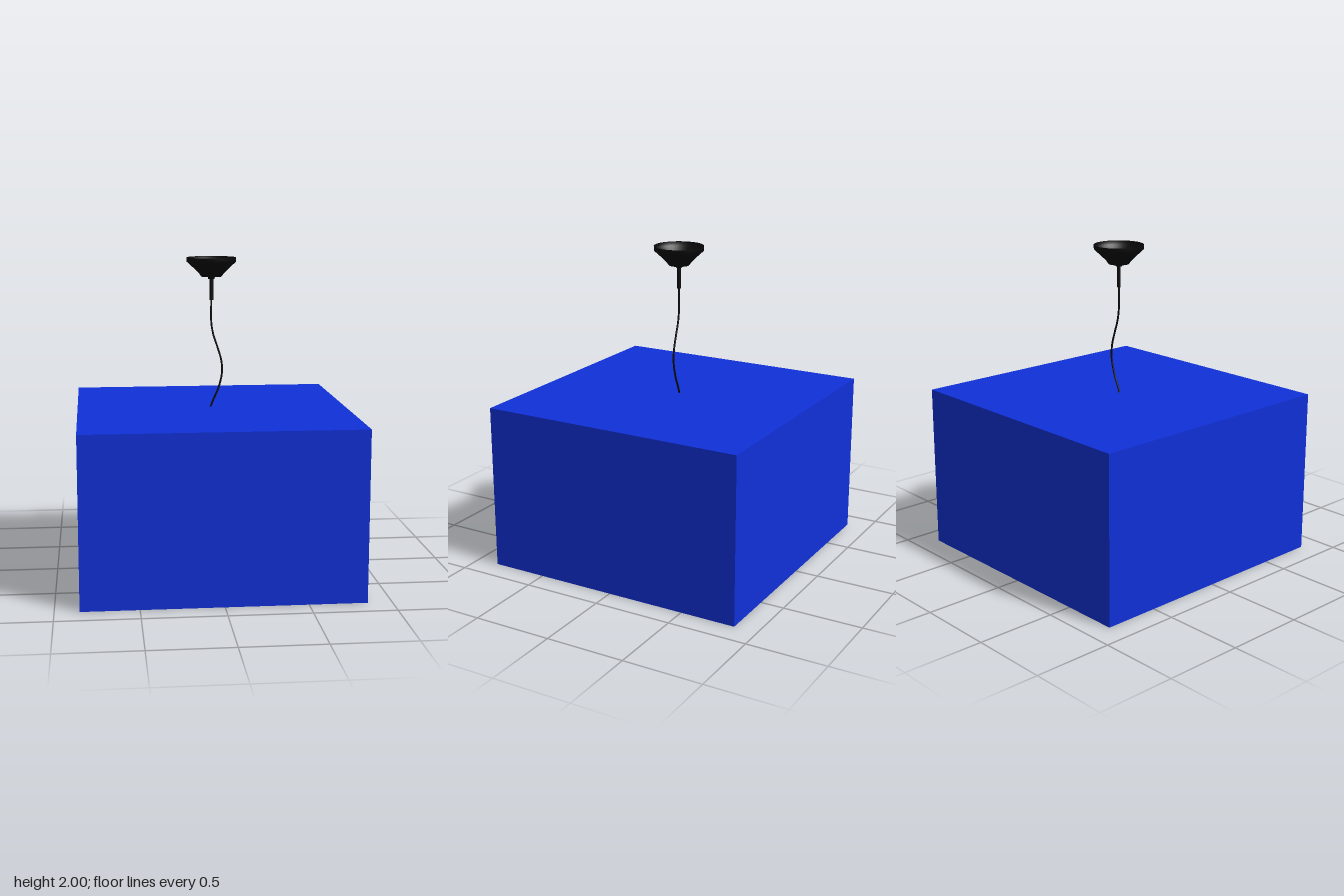
import * as THREE from 'three';

const W = 1.705, H = 1.05, T = 0.004;

// Box with its underside removed
function openBox(w, h) {
  const g = new THREE.BoxGeometry(w, h, w);
  const index = Array.from(g.index.array);
  index.splice(18, 6);
  g.setIndex(index);
  g.clearGroups();
  g.translate(0, h / 2, 0);
  return g;
}

function squarePath(path, s) {
  path.moveTo(-s, -s).lineTo(s, -s).lineTo(s, s).lineTo(-s, s).closePath();
  return path;
}

export function createModel() {
  const group = new THREE.Group();
  const blue = new THREE.MeshStandardMaterial({ color: 0x1030d8 });
  const black = new THREE.MeshStandardMaterial({ color: 0x0a0a0a, side: THREE.DoubleSide });
  const grey = new THREE.MeshStandardMaterial({ color: 0xcccccc, side: THREE.BackSide });

  const add = (name, geometry, material) => {
    const mesh = new THREE.Mesh(geometry, material);
    mesh.name = name;
    group.add(mesh);
    return mesh;
  };

  // Square shade: outer skin, inner lining and the thin lower rim
  add('shade', openBox(W, H), blue);
  add('shadeLining', openBox(W - 2 * T, H - T), grey);
  const rim = squarePath(new THREE.Shape(), W / 2);
  rim.holes.push(squarePath(new THREE.Path(), W / 2 - T));
  add('shadeRim', new THREE.ShapeGeometry(rim).rotateX(Math.PI / 2), blue);

  // Ceiling canopy, an open cup with a small collar beneath
  const profile = [
    [0, 1.865], [0.02, 1.865], [0.022, 1.88], [0.064, 1.88], [0.078, 1.9],
    [0.108, 1.93], [0.155, 1.973], [0.156, 2],
  ].map(([r, y]) => new THREE.Vector2(r, y));
  add('canopy', new THREE.LatheGeometry(profile, 40), black);

  // Cord grip below the canopy
  add('cordGrip', new THREE.CylinderGeometry(0.012, 0.012, 0.135, 20), black)
    .position.y = 1.8;

  // Slack hanging cord
  const path = new THREE.CatmullRomCurve3([
    [0, 1.75], [-0.001, 1.6], [0.011, 1.52], [0.04, 1.43], [0.063, 1.35],
    [0.068, 1.27], [0.043, 1.165], [0.012, 1.095], [-0.007, 1.045],
  ].map(([x, y]) => new THREE.Vector3(x, y, 0)));
  add('cord', new THREE.TubeGeometry(path, 48, 0.006, 10), black);

  return group;
}
